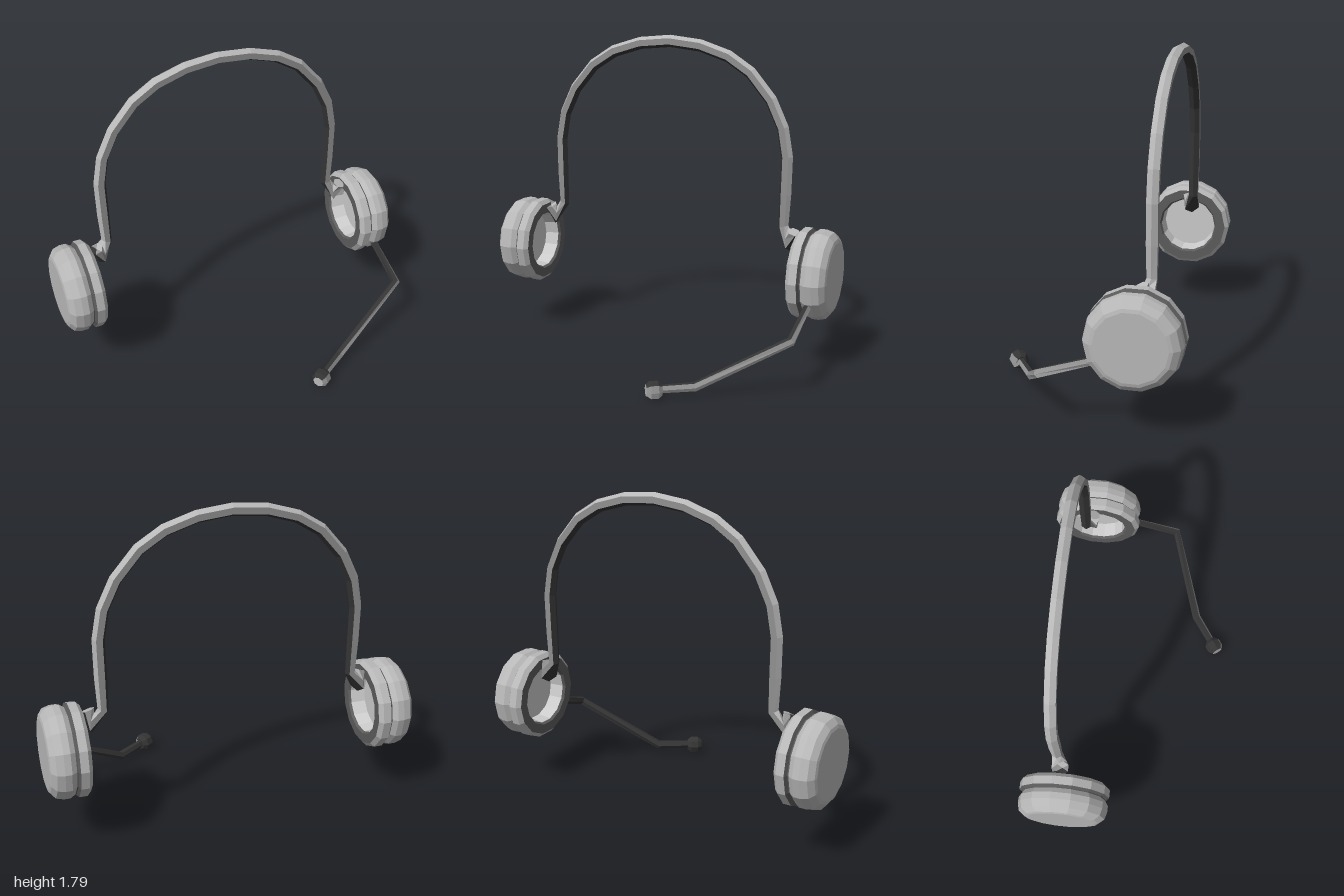
import * as THREE from 'three';

function material(name, color) {
  const m = new THREE.MeshStandardMaterial({ color, flatShading: true });
  m.name = name;
  return m;
}
const paleGrey = material('pale grey cloth', 0xcccccc);
const lightGrey = material('light grey plastic', 0xb8b8b8);
const midGrey = material('mid grey plastic', 0x909090);
const padGrey = material('pad grey', 0x5c5c5c);
const darkGrey = material('dark grey lining', 0x343434);

function part(geometry, name, mat) {
  const flat = geometry.toNonIndexed();
  flat.computeVertexNormals();
  const mesh = new THREE.Mesh(flat, mat);
  mesh.name = name;
  return mesh;
}

// Closed faceted tube through stations [x, y, z, radius]; side fixes the roll of the rings,
// tones gives the material index of each long strip, counted around the ring
function sweep(stations, side, tones) {
  const sides = tones.length;
  const pts = stations.map(s => new THREE.Vector3(s[0], s[1], s[2]));
  const last = pts.length - 1;
  const pos = [], index = [];
  const g = new THREE.BufferGeometry();
  pts.forEach((p, i) => {
    const d = new THREE.Vector3();
    if (i > 0) d.add(p.clone().sub(pts[i - 1]).normalize());
    if (i < last) d.add(pts[i + 1].clone().sub(p).normalize());
    d.normalize();
    const u = side.clone().cross(d).normalize();
    const v = d.clone().cross(u);
    for (let j = 0; j < sides; j++) {
      const a = j / sides * Math.PI * 2;
      const q = p.clone().addScaledVector(u, Math.cos(a) * stations[i][3])
        .addScaledVector(v, Math.sin(a) * stations[i][3]);
      pos.push(q.x, q.y, q.z);
    }
  });
  const start = pos.length / 3, end = start + 1;
  pos.push(...pts[0].toArray(), ...pts[last].toArray());
  for (let j = 0; j < sides; j++) {
    const k = (j + 1) % sides;
    const first = index.length;
    for (let i = 0; i < last; i++) {
      const a = i * sides, b = a + sides;
      index.push(a + j, a + k, b + k, a + j, b + k, b + j);
    }
    index.push(start, k, j);
    g.addGroup(first, index.length - first, tones[j]);
    g.addGroup(index.length, 3, 0);
    index.push(end, last * sides + j, last * sides + k);
  }
  g.setAttribute('position', new THREE.Float32BufferAttribute(pos, 3));
  g.setIndex(index);
  return g;
}

export function createModel() {
  const model = new THREE.Group();
  model.name = 'headset';

  // Ear cups: [radius, distance from the middle], from the hollow out to the domed shell
  const cupParts = [
    ['cupHollow', paleGrey, [[0, 0.88], [0.155, 0.88], [0.165, 0.80]]],
    ['padRim', padGrey, [[0.165, 0.80], [0.175, 0.787], [0.228, 0.787]]],
    ['padSide', lightGrey, [[0.228, 0.787], [0.25, 0.808], [0.25, 0.852]]],
    ['cupGroove', padGrey, [[0.25, 0.852], [0.23, 0.862], [0.23, 0.868]]],
    ['cupShell', lightGrey, [
      [0.23, 0.868], [0.248, 0.895], [0.248, 0.93], [0.237, 0.97],
      [0.205, 0.995], [0.186, 1.0], [0, 1.0],
    ]],
  ];
  for (const s of [1, -1]) {
    const cup = new THREE.Group();
    cup.name = s > 0 ? 'leftEarCup' : 'rightEarCup';
    for (const [name, mat, profile] of cupParts) {
      const points = profile.map(([r, d]) => new THREE.Vector2(r, d));
      cup.add(part(new THREE.LatheGeometry(points, 14), name, mat));
    }
    cup.rotation.z = -s * Math.PI / 2;
    cup.position.set(0, 0.535, -0.29);
    model.add(cup);
  }

  // Headband, light outside and dark inside: one half from crown to hooked end, then mirrored
  const tones = [lightGrey, midGrey, darkGrey];
  const z = -0.335, r = 0.034;
  const half = [
    [0.18, 1.742, z, r], [0.345, 1.69, z, r], [0.475, 1.607, z, r], [0.595, 1.465, z, r],
    [0.665, 1.317, z, r], [0.693, 1.16, z, r], [0.69, 0.95, z, r], [0.685, 0.77, z, 0.03],
    [0.737, 0.688, -0.32, 0.052], [0.757, 0.755, -0.297, 0.036],
  ];
  const mirrored = half.map(([x, ...rest]) => [-x, ...rest]).reverse();
  const band = [...mirrored, [0, 1.76, z, r], ...half];
  model.add(part(sweep(band, new THREE.Vector3(0, 0, 1), [0, 1, 2, 2, 1, 0]), 'headband', tones));

  // Microphone boom, dark on the top and back
  const up = new THREE.Vector3(0, 1, 0);
  model.add(part(sweep([
    [0.905, 0.41, -0.09, 0.022], [0.905, 0.312, 0.19, 0.025],
    [0.45, 0.052, 0.365, 0.025], [0.28, 0.052, 0.48, 0.022],
  ], up, [1, 2, 2, 2, 1, 0]), 'microphoneBoom', tones));

  // Microphone: short barrel in line with the end of the boom
  const barrel = [[-0.042, 0.032], [-0.02, 0.05], [0.02, 0.05], [0.042, 0.032]]
    .map(([t, radius]) => [0.27 - 0.82 * t, 0.05, 0.488 + 0.57 * t, radius]);
  model.add(part(sweep(barrel, up, [1, 2, 2, 2, 2, 2, 2, 0]), 'microphone', tones));

  return model;
}
